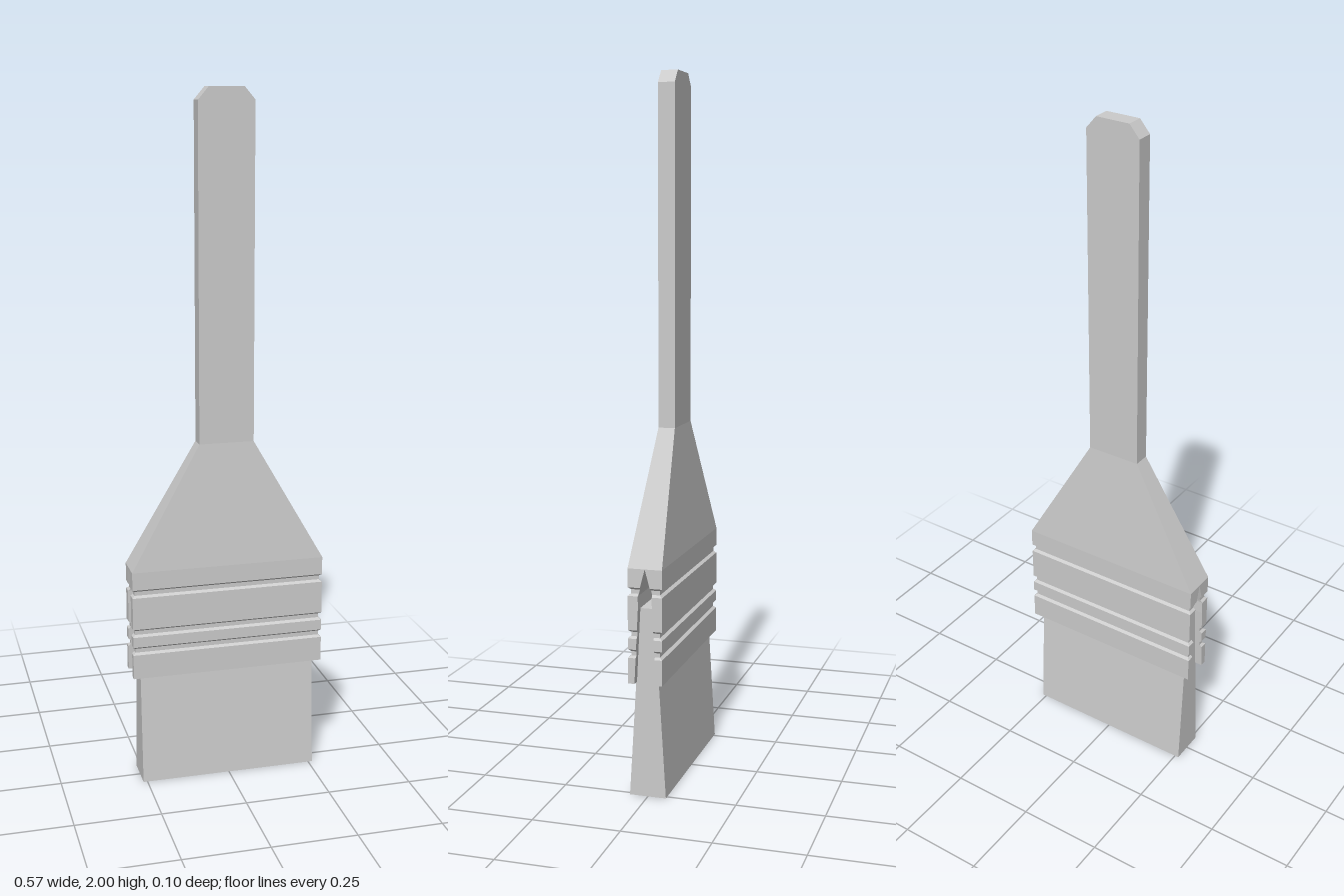
import * as THREE from 'three';

const material = new THREE.MeshStandardMaterial({ color: 0xcccccc, flatShading: true });

// Lofts rectangles stacked upwards; each level is [y, halfWidth, zBack, zFront].
function loft(name, levels, capBottom = true, capTop = true) {
  const pos = [], index = [];
  for (const [y, w, z0, z1] of levels) {
    pos.push(w, y, z1, w, y, z0, -w, y, z0, -w, y, z1);
  }
  for (let i = 0; i < levels.length - 1; i++) {
    for (let j = 0; j < 4; j++) {
      const a = i * 4 + j, b = i * 4 + (j + 1) % 4;
      index.push(a, b, b + 4, a, b + 4, a + 4);
    }
  }
  const t = (levels.length - 1) * 4;
  if (capBottom) index.push(0, 2, 1, 0, 3, 2);
  if (capTop) index.push(t, t + 1, t + 2, t, t + 2, t + 3);
  const indexed = new THREE.BufferGeometry();
  indexed.setAttribute('position', new THREE.Float32BufferAttribute(pos, 3));
  indexed.setIndex(index);
  const geometry = indexed.toNonIndexed();
  geometry.computeVertexNormals();
  const mesh = new THREE.Mesh(geometry, material);
  mesh.name = name;
  return mesh;
}

const W = 0.285, D = 0.049; // half width and half depth of the clamp

// Inner face of a jaw: follows the bristles, then closes to a point.
function innerZ(y) {
  if (y > 0.58) return 0.02 * (0.655 - y) / 0.075;
  if (y > 0.54) return 0.02;
  return 0.02 + (0.54 - y) * 0.05;
}

// One clamp jaw with three shallow grooves running round the outside.
function jaw(name, side) {
  const outline = [[0.33, 0]];
  for (const g of [0.415, 0.47, 0.59]) {
    outline.push([g - 0.012, 0], [g - 0.006, 1], [g + 0.006, 1], [g + 0.012, 0]);
  }
  outline.push([0.54, 0], [0.655, 0]);
  outline.sort((a, b) => a[0] - b[0]);
  const levels = outline.map(([y, cut]) => {
    const zs = [side * innerZ(y), side * (D - cut * 0.008)].sort((a, b) => a - b);
    return [y, W - cut * 0.007, ...zs];
  });
  return loft(name, levels, true, false);
}

export function createModel() {
  const group = new THREE.Group();
  group.name = 'flatBrush';

  // Flared shoulder and flat grip with a chamfered end
  group.add(loft('handle', [
    [0.655, W, -D, D],
    [1.015, 0.08, -0.024, 0.024],
    [1.965, 0.08, -0.024, 0.024],
    [2, 0.05, -0.024, 0.024],
  ], false));

  // Two jaws gripping the bristles
  group.add(jaw('frontJaw', 1), jaw('backJaw', -1));

  // Bristle block, widening towards the tip
  group.add(loft('bristles', [
    [0, 0.262, -0.0525, 0.0525],
    [0.54, 0.262, -0.02, 0.02],
  ]));

  return group;
}
